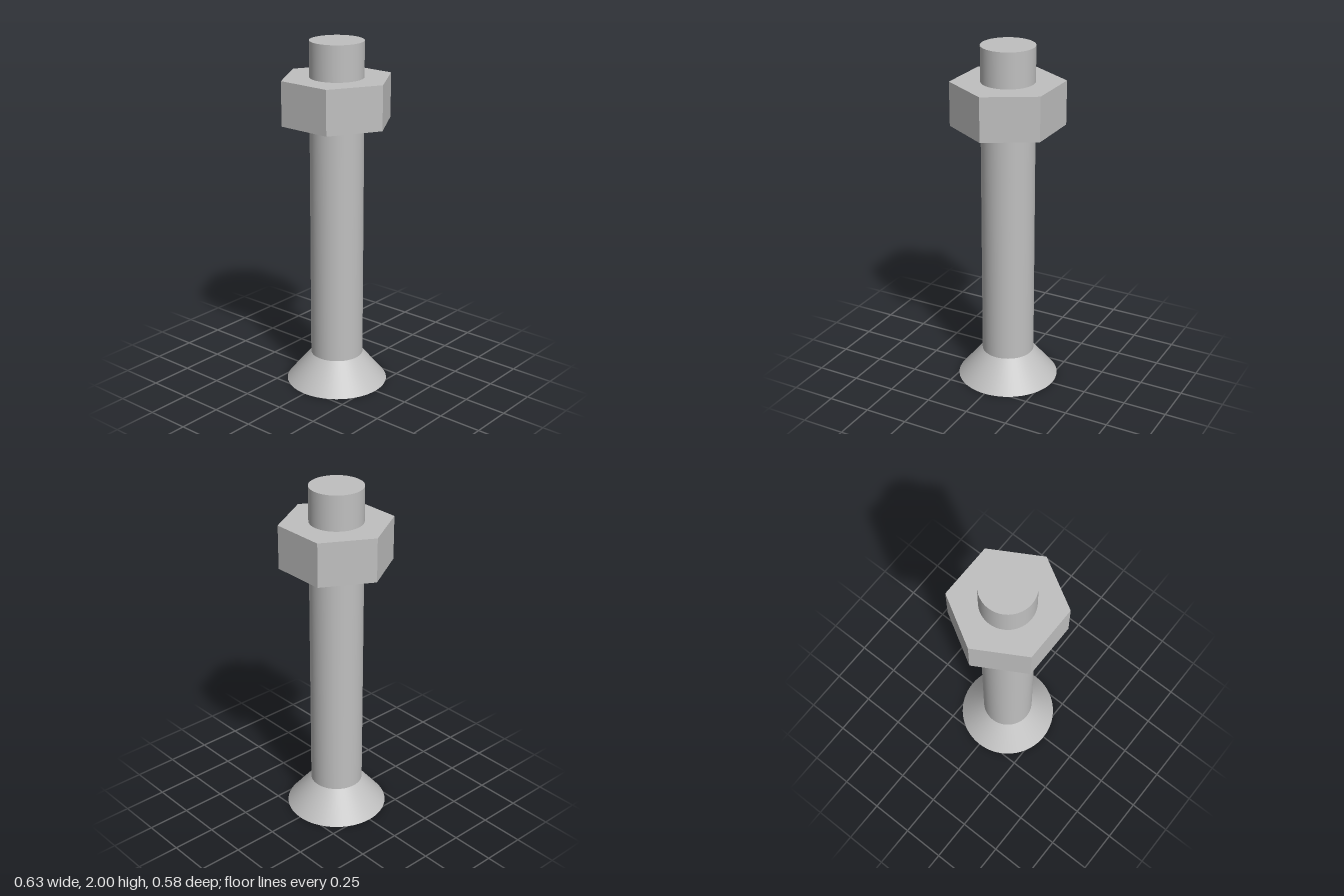
import * as THREE from 'three';

const SEGMENTS = 64;

export function createModel() {
  const group = new THREE.Group();
  group.name = 'countersunkBoltWithNut';

  const steel = new THREE.MeshStandardMaterial({ color: 0xc0c0c0 });
  steel.name = 'steel grey';

  const add = (name, geometry, y) => {
    const mesh = new THREE.Mesh(geometry, steel);
    mesh.name = name;
    mesh.position.y = y;
    group.add(mesh);
  };

  // Conical head, wide end on the ground
  const headHeight = 0.17, shankRadius = 0.15;
  add('head', new THREE.CylinderGeometry(shankRadius, 0.29, headHeight, SEGMENTS), headHeight / 2);

  // Plain round shank, from the head to the tip
  const shankLength = 2 - headHeight;
  add('shank', new THREE.CylinderGeometry(shankRadius, shankRadius, shankLength, SEGMENTS),
    headHeight + shankLength / 2);

  // Hexagonal nut with corners on the x axis, bored to grip the shank
  const corners = Array.from({ length: 6 }, (_, i) => {
    const a = i * Math.PI / 3;
    return new THREE.Vector2(0.317 * Math.cos(a), 0.317 * Math.sin(a));
  });
  const hexagon = new THREE.Shape(corners);
  hexagon.holes.push(new THREE.Path().absarc(0, 0, shankRadius - 0.002, 0, Math.PI * 2, true));
  const nut = new THREE.ExtrudeGeometry(hexagon, { depth: 0.25, bevelEnabled: false, curveSegments: SEGMENTS });
  nut.rotateX(-Math.PI / 2);
  add('nut', nut, 1.55);

  return group;
}
